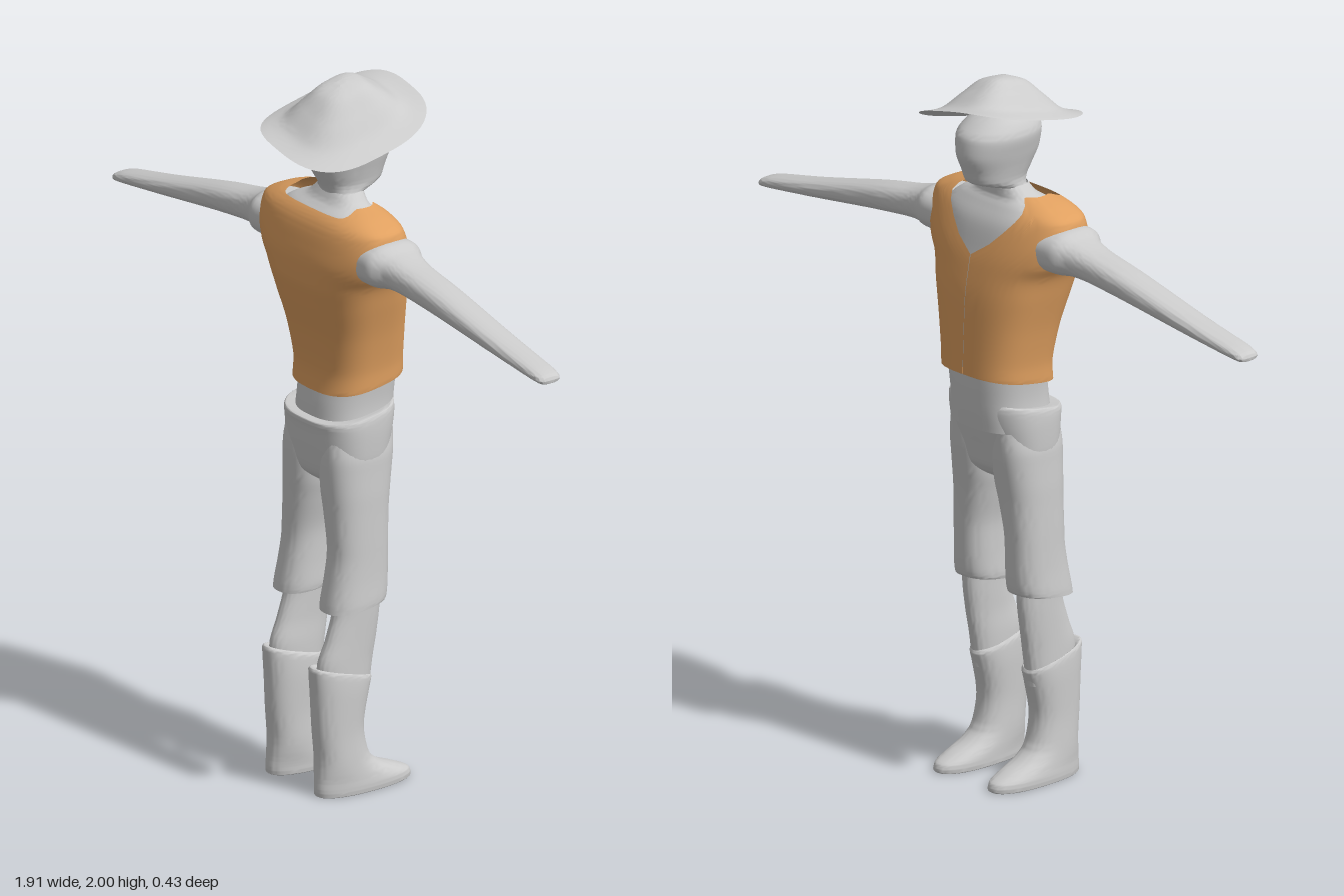
import * as THREE from 'three';
import { toCreasedNormals } from 'three/addons/utils/BufferGeometryUtils.js';

const GREY = 0xcccccc, ORANGE = 0xe0a060;

// Smooth interpolation of cross-sections without overshoot
function sample(rows, t) {
  const i = Math.min(Math.floor(t), rows.length - 2), f = t - i;
  return rows[i].map((a, k) => {
    const b = rows[i + 1][k], d = b - a;
    const d0 = i > 0 ? a - rows[i - 1][k] : d;
    const d1 = i + 2 < rows.length ? rows[i + 2][k] - b : d;
    const m0 = d0 * d > 0 ? 2 * d0 * d / (d0 + d) : 0;
    const m1 = d * d1 > 0 ? 2 * d * d1 / (d + d1) : 0;
    return a + f * m0 + f * f * (3 * d - 2 * m0 - m1) + f * f * f * (m0 + m1 - 2 * d);
  });
}

// Grid surface from a function (u, v) -> [x, y, z]
function surface(nu, nv, fn, crease = 0.8) {
  const pos = [], idx = [];
  for (let j = 0; j <= nv; j++) {
    for (let i = 0; i <= nu; i++) pos.push(...fn(i / nu, j / nv));
  }
  for (let j = 0; j < nv; j++) {
    for (let i = 0; i < nu; i++) {
      const a = j * (nu + 1) + i, c = a + nu + 1;
      idx.push(a, c, a + 1, a + 1, c, c + 1);
    }
  }
  const geo = new THREE.BufferGeometry();
  geo.setAttribute('position', new THREE.Float32BufferAttribute(pos, 3));
  geo.setIndex(idx);
  return toCreasedNormals(geo, crease);
}

// Loft through sections [y, centreX, zMin, zMax, halfWidth, squareness, tilt];
// gap leaves a slit at the front, top(u) trims each column
function loft(rows, { steps = 5, gap = 0, top = () => rows.length - 1 } = {}) {
  return surface(48, (rows.length - 1) * steps, (u, v) => {
    const turn = gap + u * (2 * Math.PI - 2 * gap);
    const [y, cx, z0, z1, rx, n, k] = sample(rows, v * top(turn));
    const c = Math.sin(turn), s = -Math.cos(turn);
    const p = (q) => Math.sign(q) * Math.pow(Math.abs(q) < 1e-9 ? 0 : Math.abs(q), 2 / n);
    const z = (z0 + z1) / 2 + p(s) * (z1 - z0) / 2;
    return [cx + rx * p(c), y + k * z, z];
  });
}

// Section lists share one squareness and default to no tilt
const sections = (n, list, side = 1) =>
  list.map(([y, cx, z0, z1, rx, k = 0]) => [y, cx * side, z0, z1, rx, n, k]);

export function createModel() {
  const model = new THREE.Group();
  const add = (name, geo, color = GREY) => {
    const mesh = new THREE.Mesh(geo, new THREE.MeshStandardMaterial({ color, side: THREE.DoubleSide }));
    mesh.name = name;
    model.add(mesh);
  };

  // Torso under the vest
  add('torso', loft(sections(2.6, [
    [1.02, 0, -0.12, 0.11, 0.135],
    [1.10, 0, -0.13, 0.102, 0.127],
    [1.20, 0, -0.135, 0.09, 0.135],
    [1.40, 0, -0.128, 0.125, 0.175],
    [1.52, 0, -0.105, 0.14, 0.2],
    [1.60, 0, -0.085, 0.125, 0.2],
    [1.645, 0, -0.06, 0.1, 0.16],
    [1.672, 0, -0.045, 0.066, 0.1],
    [1.70, 0, -0.045, 0.05, 0.07],
  ])));

  // Neck and head, with the jaw pushed forward
  add('head', loft(sections(2.15, [
    [1.66, 0, -0.045, 0.06, 0.085],
    [1.69, 0, -0.045, 0.052, 0.071],
    [1.702, 0, -0.08, 0.056, 0.068],
    [1.718, 0, -0.12, 0.064, 0.068],
    [1.75, 0, -0.133, 0.083, 0.074],
    [1.80, 0, -0.15, 0.107, 0.086],
    [1.845, 0, -0.145, 0.11, 0.094],
    [1.88, 0, -0.11, 0.09, 0.08],
    [1.91, 0, -0.05, 0.04, 0.04],
    [1.92, 0, 0, 0, 0],
  ])));

  // Soft tilted hat: rounded-square outline, crown fading into the brim
  const crown = [[0], [0.016], [0.06], [0.102], [0.115]];
  add('hat', surface(64, 28, (u, v) => {
    const a = u * Math.PI * 2, r = 1 - v;
    const p = (q) => Math.sign(q) * Math.pow(Math.abs(q), 0.68);
    const x = r * (0.005 + 0.165 * p(Math.cos(a)) - 0.01 * Math.sin(a));
    const z = r * (-0.005 + 0.215 * p(Math.sin(a)));
    const droop = 0.012 * r ** 4 * Math.cos(2 * a);
    return [x, 1.885 - 0.23 * x - 0.23 * z + sample(crown, v * 4)[0] - droop, z];
  }));

  // Open vest: slit and V neck at the front, lip turned in at the hem
  const vest = sections(2.8, [
    [1.17, 0, -0.135, 0.09, 0.13, -0.16],
    [1.155, 0, -0.15, 0.105, 0.145, -0.16],
    [1.20, 0, -0.149, 0.1, 0.147, -0.08],
    [1.30, 0, -0.146, 0.115, 0.163],
    [1.40, 0, -0.141, 0.14, 0.188],
    [1.47, 0, -0.13, 0.154, 0.208],
    [1.52, 0, -0.12, 0.155, 0.238],
    [1.58, 0, -0.1, 0.145, 0.256],
    [1.63, 0, -0.08, 0.13, 0.249],
    [1.66, 0, -0.06, 0.108, 0.2],
    [1.682, 0, -0.035, 0.07, 0.135],
  ]);
  const neckline = (turn) => {
    const a = Math.min(turn, 2 * Math.PI - turn);
    if (a < 0.8) return THREE.MathUtils.lerp(5.9, 10, a / 0.8);
    return 10 - 0.9 * THREE.MathUtils.smoothstep(a, 1.9, 2.7);
  };
  add('vest', loft(vest, { steps: 6, gap: 0.0005, top: neckline }), ORANGE);

  // Hips of the short trousers
  add('hips', loft(sections(2.6, [
    [0.855, 0, 0, 0.03, 0],
    [0.865, 0, -0.04, 0.06, 0.04],
    [0.90, 0, -0.08, 0.105, 0.13],
    [0.96, 0, -0.095, 0.118, 0.154],
    [1.03, 0, -0.112, 0.127, 0.156],
    [1.07, 0, -0.12, 0.132, 0.154, -0.12],
    [1.083, 0, -0.118, 0.13, 0.148, -0.16],
    [1.08, 0, -0.1, 0.1, 0.12, -0.16],
  ])));

  for (const side of [1, -1]) {
    const label = side > 0 ? 'left' : 'right';

    // Arm, lofted along its length and then swung outward
    const arm = loft(sections(2.5, [
      [0.16, -1.555, -0.075, 0.11, 0.062],
      [0.25, -1.557, -0.072, 0.112, 0.062],
      [0.30, -1.55, -0.052, 0.086, 0.05],
      [0.36, -1.54, -0.042, 0.076, 0.043],
      [0.48, -1.522, -0.038, 0.071, 0.038],
      [0.75, -1.473, -0.029, 0.061, 0.024],
      [0.92, -1.445, -0.022, 0.055, 0.016],
      [0.945, -1.44, -0.017, 0.05, 0.012],
      [0.954, -1.438, -0.004, 0.038, 0.006],
      [0.956, -1.437, 0.017, 0.017, 0],
    ], side));
    arm.rotateZ(-side * Math.PI / 2);
    add(label + 'Arm', arm);

    // Trouser leg with a flared, turned-in hem
    add(label + 'TrouserLeg', loft(sections(2.4, [
      [0.56, 0.105, -0.03, 0.1, 0.05, -0.12],
      [0.545, 0.103, -0.052, 0.132, 0.069, -0.12],
      [0.56, 0.102, -0.058, 0.13, 0.07, -0.1],
      [0.62, 0.101, -0.063, 0.116, 0.066],
      [0.70, 0.1, -0.065, 0.106, 0.064],
      [0.80, 0.09, -0.072, 0.108, 0.071],
      [0.87, 0.083, -0.082, 0.112, 0.076],
      [0.95, 0.08, -0.094, 0.115, 0.075],
      [1.02, 0.08, -0.1, 0.11, 0.06],
    ], side)));

    // Shin between trousers and boot
    add(label + 'Shin', loft(sections(2.2, [
      [0.28, 0.105, -0.005, 0.155, 0.042],
      [0.37, 0.105, -0.018, 0.155, 0.041],
      [0.45, 0.107, -0.032, 0.128, 0.038],
      [0.53, 0.107, -0.042, 0.105, 0.038],
      [0.62, 0.105, -0.045, 0.1, 0.042],
    ], side)));

    // Boot with flat sole, forward toe and slanted cuff
    add(label + 'Boot', loft(sections(2.3, [
      [0.008, 0.107, 0, 0, 0],
      [0.008, 0.107, -0.135, 0.158, 0.054],
      [0.014, 0.107, -0.145, 0.164, 0.058],
      [0.03, 0.107, -0.14, 0.164, 0.058],
      [0.05, 0.106, -0.1, 0.162, 0.057],
      [0.075, 0.105, -0.04, 0.16, 0.056],
      [0.11, 0.104, -0.002, 0.158, 0.055],
      [0.19, 0.103, 0.014, 0.165, 0.052],
      [0.28, 0.102, -0.003, 0.172, 0.053, 0.12],
      [0.325, 0.102, -0.015, 0.178, 0.05, 0.28],
      [0.333, 0.103, -0.008, 0.17, 0.045, 0.28],
      [0.325, 0.104, 0.005, 0.15, 0.038, 0.28],
    ], side)));
  }
  return model;
}
